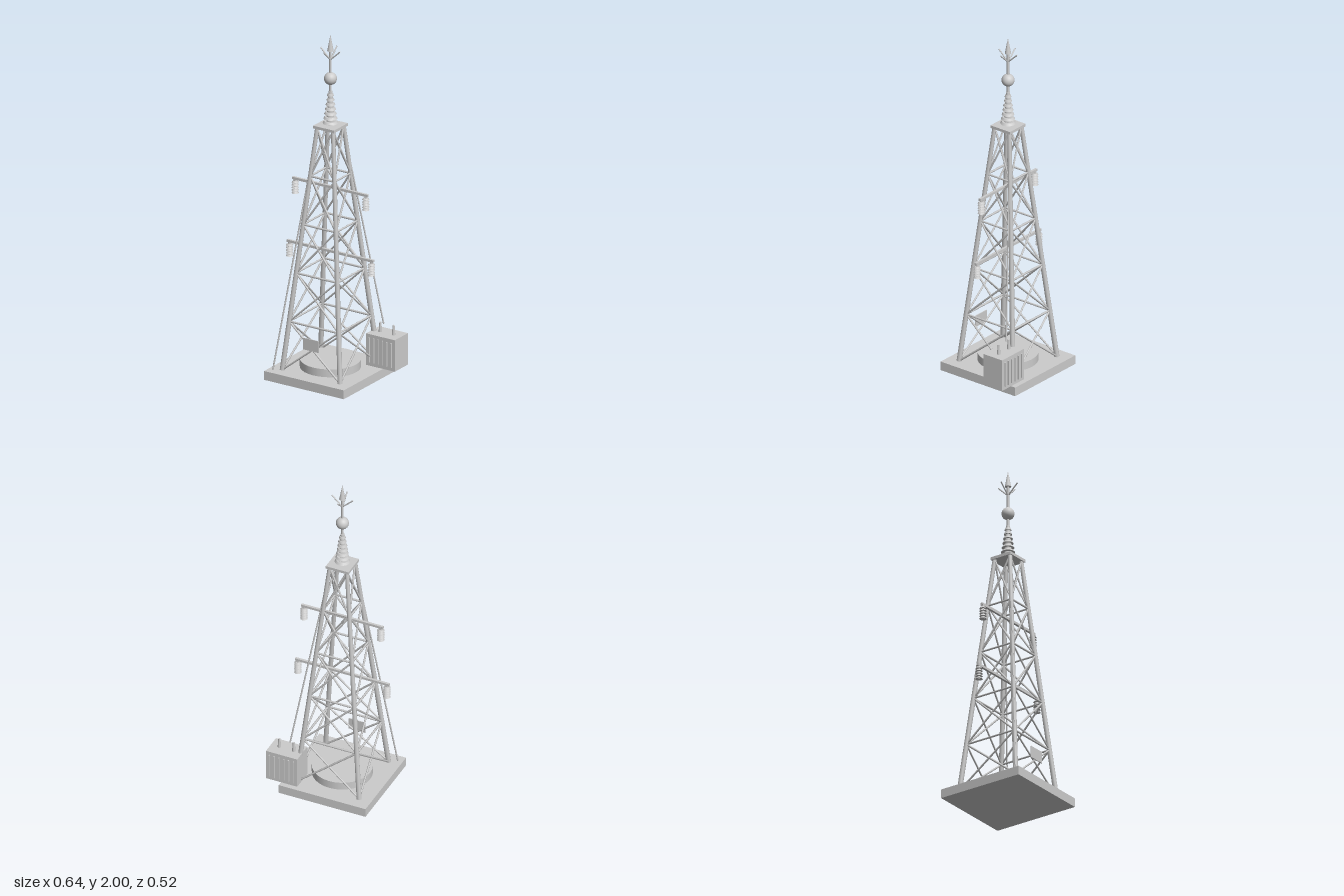
import * as THREE from 'three';

export function createModel() {
  const model = new THREE.Group();
  model.name = 'latticeTower';
  const steel = new THREE.MeshStandardMaterial({ color: 0xcccccc });
  steel.name = 'pale grey steel';
  const tower = new THREE.Group();
  tower.name = 'tower';
  tower.position.x = -0.03;
  model.add(tower);

  const V = (x, y, z) => new THREE.Vector3(x, y, z);
  function add(parent, name, geometry, x = 0, y = 0, z = 0) {
    const mesh = new THREE.Mesh(geometry, steel);
    mesh.name = name;
    mesh.position.set(x, y, z);
    parent.add(mesh);
    return mesh;
  }
  const box = (parent, name, w, h, d, x, y, z) => add(parent, name, new THREE.BoxGeometry(w, h, d), x, y, z);
  // Round bar between two points
  function bar(parent, name, a, b, r, sides = 8, rTop = r) {
    const dir = b.clone().sub(a);
    const mesh = add(parent, name, new THREE.CylinderGeometry(rTop, r, dir.length(), sides));
    mesh.position.copy(a).add(b).multiplyScalar(0.5);
    mesh.quaternion.setFromUnitVectors(V(0, 1, 0), dir.normalize());
    return mesh;
  }

  // Foundation
  const Y0 = 0.052, Y1 = 1.46;
  box(tower, 'baseSlab', 0.524, Y0, 0.524, 0, Y0 / 2, 0);
  add(tower, 'baseDrum', new THREE.CylinderGeometry(0.168, 0.168, 0.046, 32), 0, Y0 + 0.023, 0);

  // Four legs leaning inwards
  const half = y => 0.19 - 0.138 * (y - Y0) / (Y1 - Y0);
  const corner = (i, y) => {
    const s = [[1, 1], [1, -1], [-1, -1], [-1, 1]][i % 4];
    return V(s[0] * half(y), y, s[1] * half(y));
  };
  for (let i = 0; i < 4; i++) bar(tower, 'leg', corner(i, Y0), corner(i, Y1), 0.0145, 8, 0.012);

  // Cross bracing and horizontal rails on each face
  const tiers = 5, step = (Y1 - Y0) / tiers;
  for (let t = 0; t < tiers; t++) {
    const lo = Y0 + t * step, hi = lo + step;
    for (let i = 0; i < 4; i++) {
      bar(tower, 'diagonalBrace', corner(i, lo), corner(i + 1, hi), 0.0055, 6);
      bar(tower, 'diagonalBrace', corner(i + 1, lo), corner(i, hi), 0.0055, 6);
      if (t > 0) bar(tower, 'horizontalBrace', corner(i, lo), corner(i + 1, lo), 0.006, 6);
    }
  }
  box(tower, 'topPlate', 0.137, 0.016, 0.137, 0, 1.465, 0);

  // Tapering ribbed insulator on top
  add(tower, 'insulatorCore', new THREE.CylinderGeometry(0.011, 0.024, 0.197, 16), 0, 1.5715, 0);
  for (let i = 0; i < 7; i++) {
    const r = 0.043 - i * 0.004;
    add(tower, 'insulatorDisc', new THREE.CylinderGeometry(r * 0.8, r, 0.012, 20), 0, 1.488 + i * 0.0268, 0);
  }

  // Mast, ball, spike and prongs
  add(tower, 'mast', new THREE.CylinderGeometry(0.007, 0.007, 0.25, 10), 0, 1.785, 0);
  add(tower, 'ball', new THREE.SphereGeometry(0.036, 24, 16), 0, 1.743, 0);
  add(tower, 'spike', new THREE.ConeGeometry(0.018, 0.095, 12), 0, 1.9525, 0);
  for (let i = 0; i < 4; i++) {
    const a = i * Math.PI / 2;
    bar(tower, 'prong', V(0, 1.853, 0), V(0.064 * Math.cos(a), 1.913, 0.064 * Math.sin(a)), 0.004, 6);
  }

  // Cross arms with hanging insulator strings
  for (const [y, reach] of [[1.107, 0.232], [0.73, 0.269]]) {
    box(tower, 'crossArm', 2 * reach + 0.03, 0.014, 0.014, 0, y, 0);
    for (const side of [-1, 1]) {
      const string = new THREE.Group();
      string.name = 'insulatorString';
      string.position.set(side * reach, y, 0);
      tower.add(string);
      bar(string, 'hanger', V(0, 0, 0), V(0, -0.088, 0), 0.008, 8);
      for (let i = 0; i < 5; i++)
        add(string, 'stringDisc', new THREE.CylinderGeometry(0.015, 0.021, 0.009, 8), 0, -0.02 - i * 0.0155, 0);
    }
  }

  // Small plate on the front
  box(tower, 'frontPlate', 0.1, 0.068, 0.005, 0, 0.237, 0.191);

  // Transformer with cooling fins and bushings
  const transformer = new THREE.Group();
  transformer.name = 'transformer';
  transformer.position.set(0.2245, 0.151, -0.176);
  model.add(transformer);
  box(transformer, 'tank', 0.189, 0.185, 0.13, 0, 0, 0);
  for (let i = 0; i < 6; i++)
    for (const s of [-1, 1])
      box(transformer, 'coolingFin', 0.006, 0.145, 0.012, (i - 2.5) * 0.029, 0, s * 0.067);
  for (const s of [-1, 1])
    add(transformer, 'bushing', new THREE.CylinderGeometry(0.006, 0.01, 0.057, 10), s * 0.0435, 0.121, 0);

  // Cables from the tower head to the transformer and to the ground
  bar(model, 'transformerCable', V(0.203, 0.295, -0.176), V(0.022, 1.43, -0.055), 0.0045, 6);
  bar(model, 'groundCable', V(-0.263, Y0, 0.218), V(-0.083, 1.43, 0.055), 0.0045, 6);

  return model;
}
